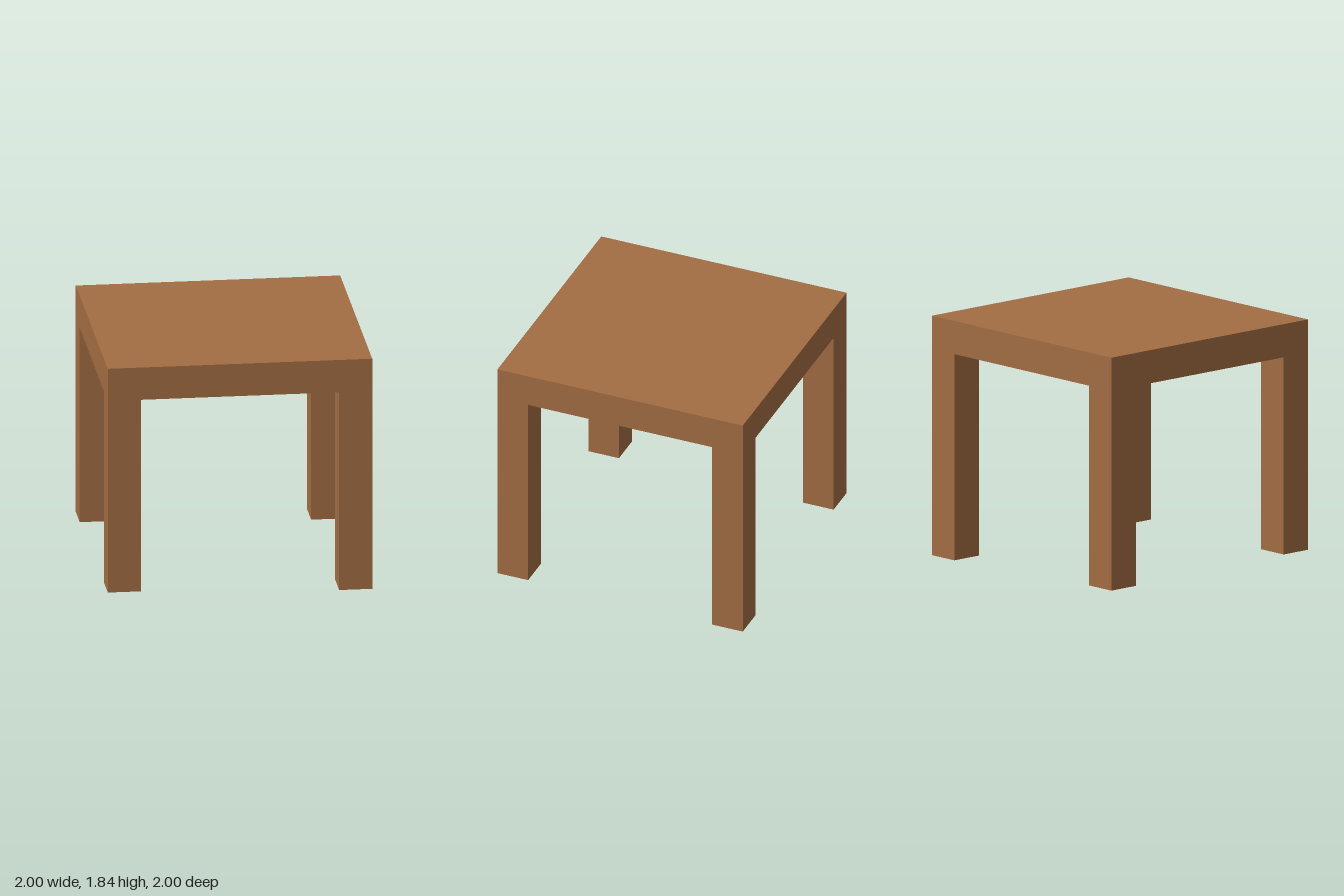
import * as THREE from 'three';

export function createModel() {
  const table = new THREE.Group();
  table.name = 'table';

  const wood = new THREE.MeshStandardMaterial({ color: 0xa36d43 });
  wood.name = 'brown wood';

  const top = 1.84, underside = 1.585, legWidth = 0.25;

  // A box spanning the heights y0 to y1
  const addBlock = (name, width, y0, y1, x, z) => {
    const mesh = new THREE.Mesh(new THREE.BoxGeometry(width, y1 - y0, width), wood);
    mesh.position.set(x, (y0 + y1) / 2, z);
    mesh.name = name;
    table.add(mesh);
  };

  // Thick square top
  addBlock('tableTop', 2, underside, top, 0, 0);

  // Corner legs, flush with the top, each cut to a slightly different length
  const legs = [
    ['frontLeftLeg', 1, 1, 0.02],
    ['frontRightLeg', -1, 1, 0.07],
    ['backLeftLeg', 1, -1, 0],
    ['backRightLeg', -1, -1, 0.05],
  ];
  const inset = 1 - legWidth / 2;
  for (const [name, sx, sz, foot] of legs) {
    addBlock(name, legWidth, foot, underside, sx * inset, sz * inset);
  }

  return table;
}
